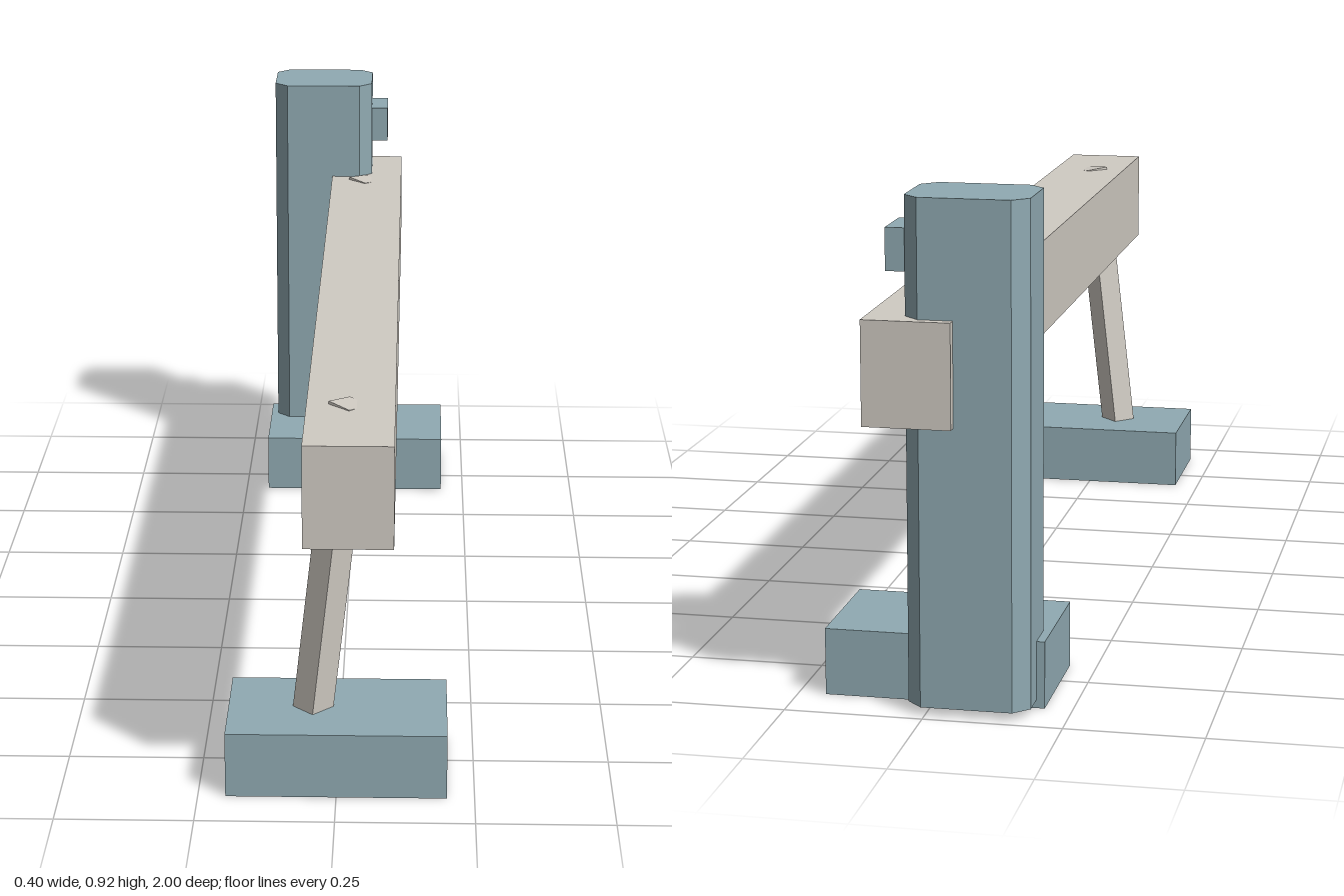
import * as THREE from 'three';

export function createModel() {
  const model = new THREE.Group();
  model.name = 'railBarrier';

  const blue = new THREE.MeshStandardMaterial({ color: 0x90aab2 });
  blue.name = 'greyBlue';
  const beige = new THREE.MeshStandardMaterial({ color: 0xd0cbc3 });
  beige.name = 'warmGrey';

  const add = (name, geometry, material) => {
    const mesh = new THREE.Mesh(geometry, material);
    mesh.name = name;
    model.add(mesh);
    return mesh;
  };

  // Box given by its lowest and highest corners
  const box = (name, material, [x0, y0, z0], [x1, y1, z1]) =>
    add(name, new THREE.BoxGeometry(x1 - x0, y1 - y0, z1 - z0), material)
      .position.set((x0 + x1) / 2, (y0 + y1) / 2, (z0 + z1) / 2);

  // Long horizontal beam
  box('beam', beige, [-0.055, 0.521, -1], [0.103, 0.709, 1]);

  // Foot block and leaning diamond-section leg at each end
  const legBottom = new THREE.Vector3(-0.0475, 0.1, 0);
  const legTop = new THREE.Vector3(0.0215, 0.7105, 0);
  const legAxis = legTop.clone().sub(legBottom);
  for (const [end, z] of [['front', 0.782], ['back', -0.782]]) {
    box(end + 'Foot', blue, [-0.2, 0, z - 0.122], [0.2, 0.123, z + 0.122]);
    const leg = add(end + 'Leg',
      new THREE.CylinderGeometry(0.037, 0.037, legAxis.length(), 4).toNonIndexed(), beige);
    leg.geometry.computeVertexNormals();
    leg.position.addVectors(legBottom, legTop).multiplyScalar(0.5).setZ(z);
    leg.rotation.z = -Math.atan2(legAxis.x, legAxis.y);
  }

  // Upright post with chamfered corners, drawn in plan and raised
  const w = 0.11, d = 0.086, c = 0.028;
  const plan = new THREE.Shape([
    [-w + c, -d], [w - c, -d], [w, -d + c], [w, d - c],
    [w - c, d], [-w + c, d], [-w, d - c], [-w, -d + c],
  ].map(([x, y]) => new THREE.Vector2(x, y)));
  const post = add('post',
    new THREE.ExtrudeGeometry(plan, { depth: 0.905, bevelEnabled: false }), blue);
  post.rotation.x = -Math.PI / 2;
  post.position.set(-0.075, 0.015, -0.896);

  // Small block on the side of the post
  box('postBlock', blue, [0.03, 0.785, -0.948], [0.071, 0.861, -0.845]);

  return model;
}
